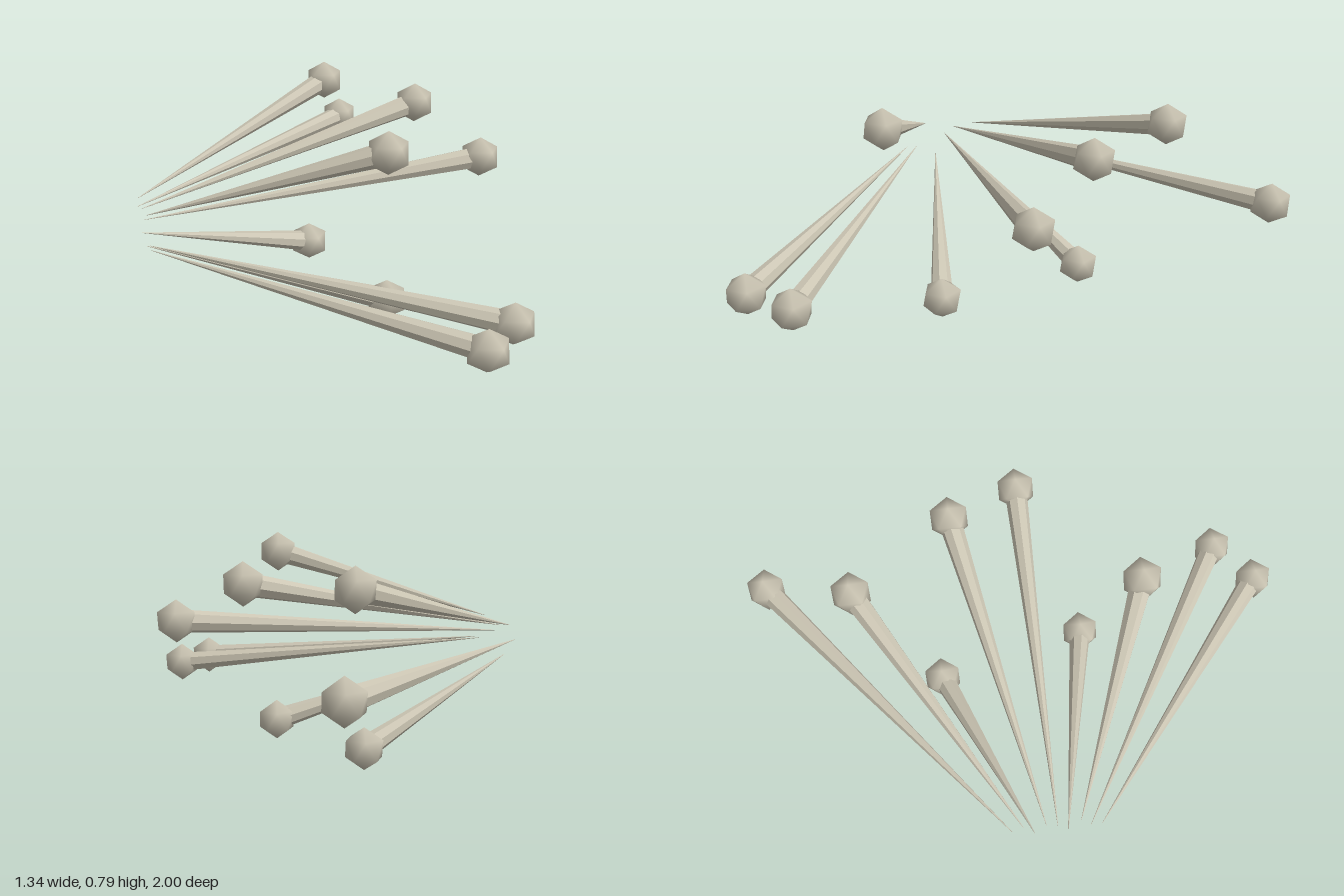
import * as THREE from 'three';

// Twenty-sided knob standing on one corner: two poles and two staggered rings of five
function knobGeometry(r) {
  const pos = [0, r, 0];
  for (const [y, offset] of [[0.447, 0], [-0.447, Math.PI / 5]]) {
    for (let k = 0; k < 5; k++) {
      const a = offset + (k * Math.PI * 2) / 5;
      pos.push(0.894 * r * Math.cos(a), y * r, -0.894 * r * Math.sin(a));
    }
  }
  pos.push(0, -r, 0);
  const index = [];
  for (let k = 0; k < 5; k++) {
    const u = 1 + k, un = 1 + ((k + 1) % 5);
    const l = 6 + k, ln = 6 + ((k + 1) % 5);
    index.push(0, u, un, u, l, un, un, l, ln, 11, ln, l);
  }
  const g = new THREE.BufferGeometry();
  g.setAttribute('position', new THREE.Float32BufferAttribute(pos, 3));
  g.setIndex(index);
  g.computeVertexNormals();
  return g;
}

export function createModel() {
  const group = new THREE.Group();
  group.name = 'spikeFan';

  const bone = new THREE.MeshStandardMaterial({ color: 0xcbc5b3 });
  bone.name = 'bone';

  // Each spike: tip y, then the knob centre; the tips lie in an even row
  const spikes = [
    [0.4, 0.355, 0.397, -0.935],
    [0.45, 0.18, 0.673, -0.59],
    [0.33, 0.035, 0.085, -0.32],
    [0.44, 0.434, 0.665, -0.22],
    [0.414, 0.602, 0.515, 0.04],
    [0.33, 0.165, 0.081, 0.245],
    [0.464, 0.094, 0.718, 0.425],
    [0.367, 0.4, 0.232, 0.8],
    [0.367, 0.247, 0.232, 0.935],
  ];
  const knob = knobGeometry(0.0765);
  const up = new THREE.Vector3(0, 1, 0);

  spikes.forEach(([tipY, x, y, z], i) => {
    const tip = new THREE.Vector3(-0.67, tipY, -0.123 + i * 0.04);
    const end = new THREE.Vector3(x, y, z);
    const dir = end.clone().sub(tip);
    const length = dir.length();

    // Tapering shaft, pointed at the tip, with crisp facets
    const cone = new THREE.CylinderGeometry(0.042, 0.0008, length, 8).toNonIndexed();
    cone.computeVertexNormals();
    const shaft = new THREE.Mesh(cone, bone);
    shaft.name = 'shaft';
    shaft.position.copy(tip).lerp(end, 0.5);
    shaft.quaternion.setFromUnitVectors(up, dir.normalize());

    // Knob on the thick end
    const ball = new THREE.Mesh(knob, bone);
    ball.name = 'knob';
    ball.position.copy(end);

    const spike = new THREE.Group();
    spike.name = 'spike' + (i + 1);
    spike.add(shaft, ball);
    group.add(spike);
  });

  return group;
}
